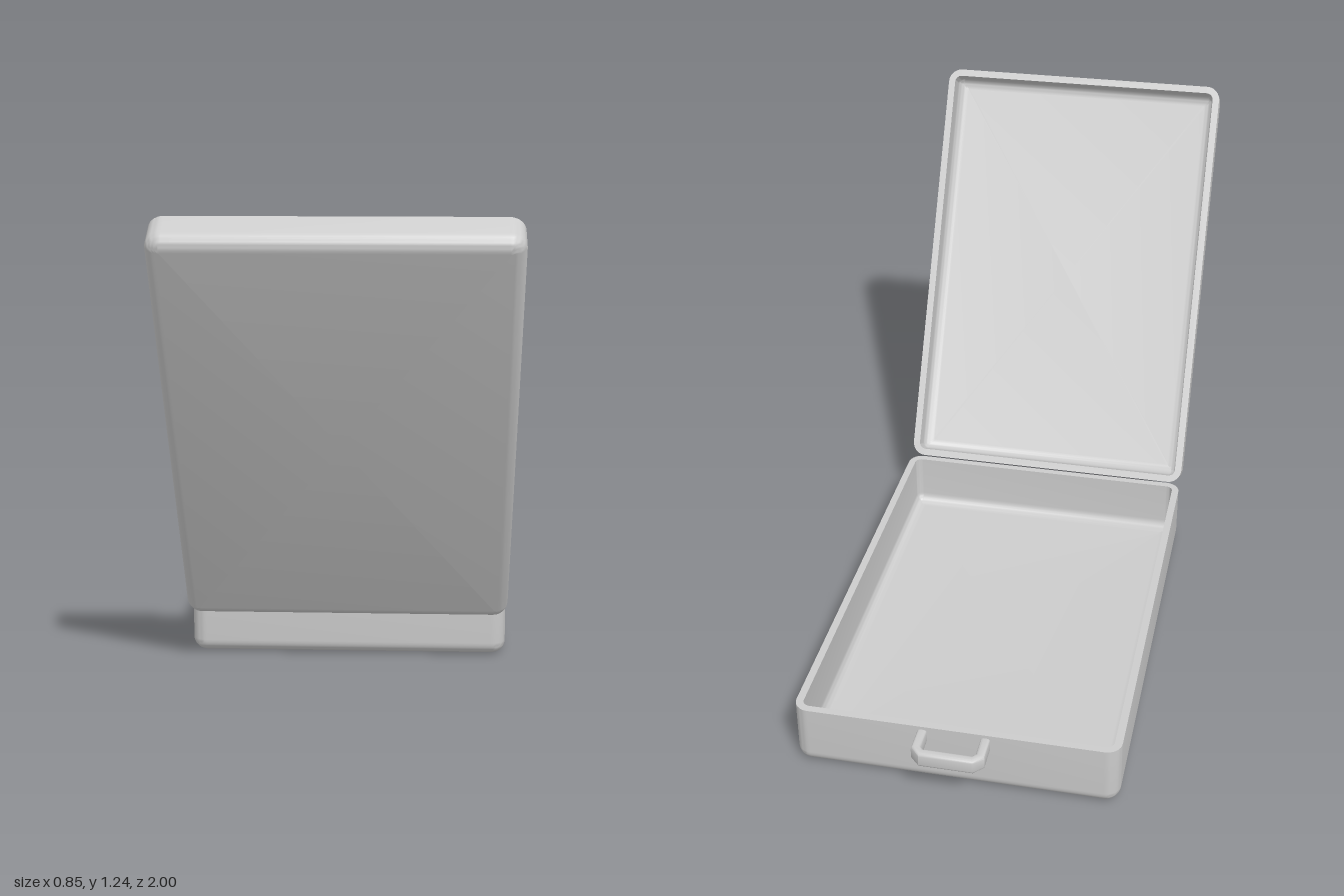
import * as THREE from 'three';
import { toCreasedNormals } from 'three/addons/utils/BufferGeometryUtils.js';

const WIDTH = 0.854, LENGTH = 1.225, WALL = 0.02;
const CORNER = 0.04, EDGE = 0.035, FILLET = 0.03, STEPS = 8;

// Rounded-rectangle ring at a height, inset from the outer footprint
function ring(inset, y) {
  const r = Math.max(CORNER - inset, 0.005);
  const cx = WIDTH / 2 - inset - r, cz = LENGTH / 2 - inset - r;
  const points = [];
  [[1, 1], [-1, 1], [-1, -1], [1, -1]].forEach(([sx, sz], q) => {
    for (let k = 0; k <= STEPS; k++) {
      const a = (q + k / STEPS) * Math.PI / 2;
      points.push([sx * cx + r * Math.cos(a), y, sz * cz + r * Math.sin(a)]);
    }
  });
  return points;
}

// Open tray: outer skin, flat rim and filleted interior
function trayGeometry(height) {
  const profile = [];
  for (let k = 0; k <= STEPS; k++) {
    const a = k / STEPS * Math.PI / 2;
    profile.push([EDGE * (1 - Math.sin(a)), EDGE * (1 - Math.cos(a))]);
  }
  profile.push([0, height], [WALL, height]);
  for (let k = STEPS; k >= 0; k--) {
    const a = k / STEPS * Math.PI / 2;
    profile.push([WALL + FILLET * (1 - Math.sin(a)), WALL + FILLET * (1 - Math.cos(a))]);
  }
  const rings = profile.map(([inset, y]) => ring(inset, y));
  const n = rings[0].length, last = rings.length - 1;
  const positions = rings.flat(2), index = [];
  for (let i = 0; i < last; i++) {
    for (let j = 0; j < n; j++) {
      const a = i * n + j, b = i * n + (j + 1) % n;
      index.push(a, a + n, b, b, a + n, b + n);
    }
  }
  // Underside and inside floor
  const under = positions.length / 3, floor = under + 1;
  positions.push(0, 0, 0, 0, WALL, 0);
  for (let j = 0; j < n; j++) {
    const k = (j + 1) % n;
    index.push(under, j, k, floor, last * n + k, last * n + j);
  }
  const geometry = new THREE.BufferGeometry();
  geometry.setAttribute('position', new THREE.Float32BufferAttribute(positions, 3));
  geometry.setIndex(index);
  return toCreasedNormals(geometry, Math.PI / 5);
}

// Chamfered U-shaped loop with softened edges
function handleGeometry() {
  const shape = new THREE.Shape([
    [-0.095, 0.9], [-0.07, 0.9], [-0.07, 0.967], [-0.062, 0.975],
    [0.062, 0.975], [0.07, 0.967], [0.07, 0.9], [0.095, 0.9],
    [0.095, 0.975], [0.07, 1], [-0.07, 1], [-0.095, 0.975],
  ].map(([x, y]) => new THREE.Vector2(x, y)));
  const bevel = 0.008;
  const geometry = new THREE.ExtrudeGeometry(shape, {
    depth: 0.042 - 2 * bevel, bevelSize: bevel, bevelThickness: bevel,
    bevelOffset: -bevel, bevelSegments: 3,
  });
  geometry.rotateX(-Math.PI / 2);
  return toCreasedNormals(geometry, Math.PI / 5);
}

export function createModel() {
  const model = new THREE.Group();
  model.name = 'openCase';
  const material = new THREE.MeshStandardMaterial({ color: 0xcccccc });
  const part = (name, geometry, parent) => {
    const mesh = new THREE.Mesh(geometry, material);
    mesh.name = name;
    parent.add(mesh);
    return mesh;
  };

  // Deep tray lying flat
  part('baseTray', trayGeometry(0.176), model).position.z = -0.2975;

  // Shallow lid, pivoted open at the hinge edge
  const lidDepth = 0.096;
  const lidPivot = new THREE.Group();
  lidPivot.name = 'lidPivot';
  lidPivot.position.set(0, 0.177, 0.319);
  lidPivot.rotation.x = -Math.PI / 3;
  part('lid', trayGeometry(lidDepth), lidPivot).position.set(0, -lidDepth, LENGTH / 2);
  model.add(lidPivot);

  // Carrying loop on the end wall
  part('handle', handleGeometry(), model).position.y = 0.133;

  return model;
}
